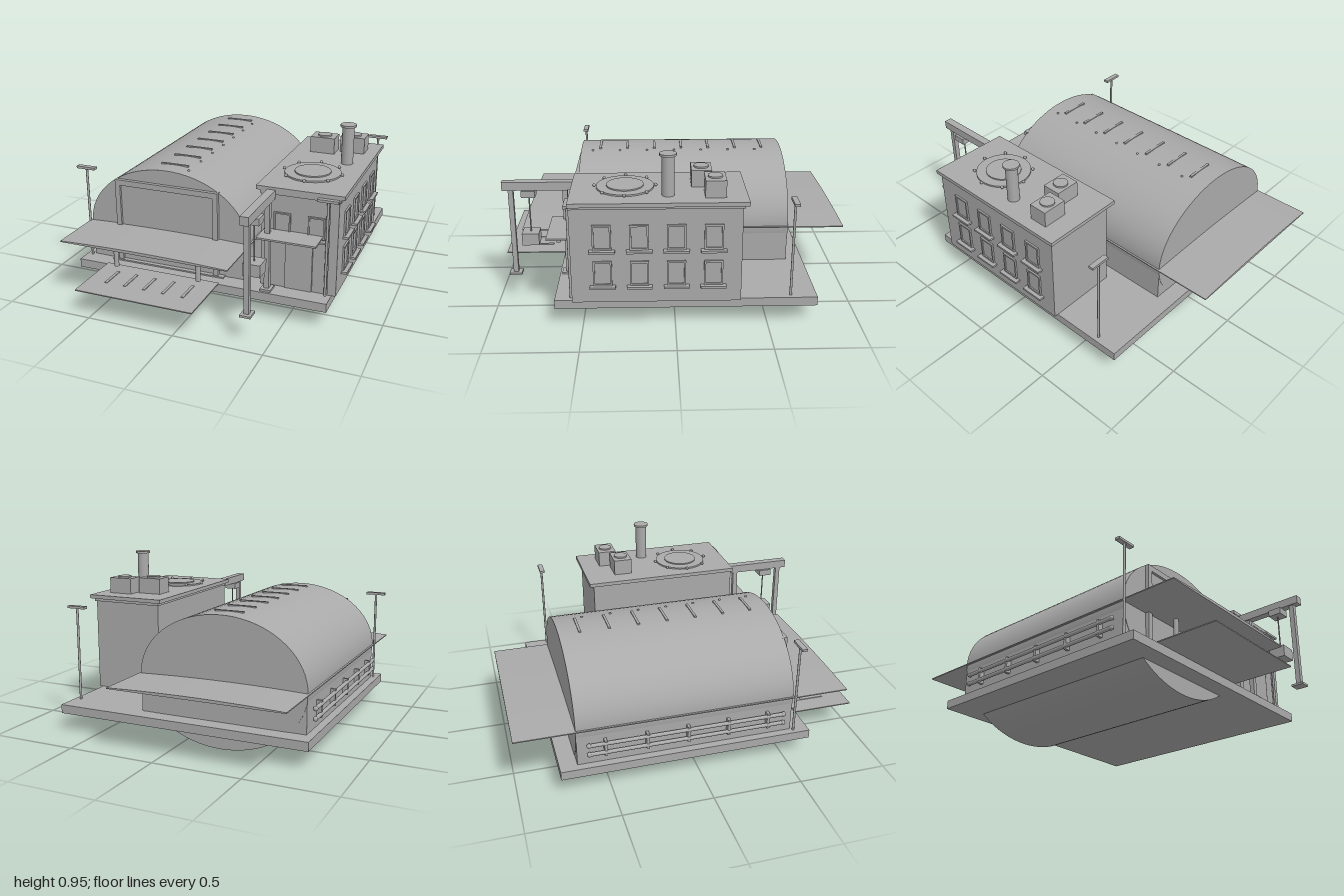
import * as THREE from 'three';

const grey = new THREE.MeshStandardMaterial({ color: 0xaaaaaa });
grey.name = 'plain grey';

export function createModel() {
  const root = new THREE.Group();
  root.name = 'hangarStation';

  const add = (name, geometry, x = 0, y = 0, z = 0) => {
    const mesh = new THREE.Mesh(geometry, grey);
    mesh.name = name;
    mesh.position.set(x, y, z);
    root.add(mesh);
    return mesh;
  };
  // Box given by its limits on each axis
  const box = (name, x0, x1, y0, y1, z0, z1) =>
    add(name, new THREE.BoxGeometry(x1 - x0, y1 - y0, z1 - z0), (x0 + x1) / 2, (y0 + y1) / 2, (z0 + z1) / 2);
  // Upright cylinder between two heights
  const post = (name, x, z, r, y0, y1, sides = 16) =>
    add(name, new THREE.CylinderGeometry(r, r, y1 - y0, sides), x, (y0 + y1) / 2, z);
  const ball = (name, x, y, z, r) => add(name, new THREE.SphereGeometry(r, 10, 8), x, y, z);

  box('basePlate', -0.76, 0.725, 0.1, 0.15, -0.77, 0.65);

  // Hangar: elliptical barrel with straight lower walls
  const cx = -0.235;
  const barrelShape = new THREE.CylinderGeometry(1, 1, 1.225, 72).rotateX(Math.PI / 2);
  add('hangarBarrel', barrelShape, cx, 0.365, -0.0625).scale.set(0.485, 0.365, 1);
  box('hangarWalls', -0.716, 0.246, 0.15, 0.365, -0.673, 0.548);

  // Wide, slightly domed sheet running through the hangar
  const dome = new THREE.Shape();
  dome.moveTo(-0.495, 0.36);
  dome.lineTo(0.495, 0.36);
  dome.lineTo(0.495, 0.366);
  dome.quadraticCurveTo(0, 0.388, -0.495, 0.366);
  add('canopySheet', new THREE.ExtrudeGeometry(dome, { depth: 1.875, bevelEnabled: false, curveSegments: 16 }), cx, 0, -1);

  // Hangar door with frame
  box('hangarDoor', -0.515, 0.05, 0.16, 0.615, 0.54, 0.558);
  for (const [a, b] of [[-0.545, -0.515], [0.05, 0.08]]) box('doorJamb', a, b, 0.155, 0.645, 0.54, 0.572);
  box('doorLintel', -0.545, 0.08, 0.615, 0.647, 0.54, 0.572);
  box('doorSill', -0.58, 0.115, 0.15, 0.158, 0.54, 0.58);

  // Ramp with guide stripes and two bollards
  box('ramp', -0.575, 0.115, 0.151, 0.157, 0.645, 1);
  for (let i = 0; i < 5; i++) {
    const x = -0.46 + i * 0.115;
    box('rampStripe', x - 0.008, x + 0.008, 0.157, 0.161, 0.73, 0.87);
  }
  for (const x of [-0.487, 0.017]) post('bollard', x, 0.7, 0.014, 0.178, 0.293);

  // Ridge bars along the barrel
  for (let i = 0; i < 7; i++) {
    const z = -0.557 + i * 0.165;
    box('ridgeBar', -0.315, -0.15, 0.712, 0.734, z - 0.007, z + 0.007);
    ball('ridgeLamp', -0.128, 0.722, z + 0.045, 0.007);
  }

  // Pipes on the outer hangar wall
  for (const y of [0.22, 0.275]) {
    add('wallPipe', new THREE.CylinderGeometry(0.011, 0.011, 1.1, 12).rotateX(Math.PI / 2), -0.74, y, -0.06);
    for (const z of [-0.61, 0.49]) ball('pipeEnd', -0.74, y, z, 0.014);
  }
  for (let i = 0; i < 5; i++) {
    const z = -0.52 + i * 0.23;
    box('pipeBracket', -0.745, -0.71, 0.2, 0.295, z - 0.008, z + 0.008);
  }

  // Office block
  box('officeBody', 0.325, 0.748, 0.15, 0.7, -0.35, 0.545);
  box('officeCornice', 0.318, 0.756, 0.682, 0.7, -0.358, 0.553);
  box('officeRoof', 0.295, 0.775, 0.7, 0.722, -0.38, 0.555);
  for (const [a, b] of [[0.325, 0.36], [0.7, 0.748]]) box('frontPilaster', a, b, 0.15, 0.69, 0.54, 0.552);

  // Frame of four bars around an opening, lying in the xy plane
  const frameShape = (w, h, t) => {
    const rect = (s, a, b) => {
      s.moveTo(-a, -b); s.lineTo(a, -b); s.lineTo(a, b); s.lineTo(-a, b); s.closePath();
      return s;
    };
    const outer = rect(new THREE.Shape(), w / 2, h / 2);
    outer.holes.push(rect(new THREE.Path(), w / 2 - t, h / 2 - t));
    return new THREE.ExtrudeGeometry(outer, { depth: 0.012, bevelEnabled: false });
  };

  // Side windows in two rows
  const sideFrame = frameShape(0.1, 0.14, 0.01).rotateY(Math.PI / 2);
  for (const y of [0.32, 0.525]) {
    for (const z of [0.385, 0.19, -0.005, -0.2]) {
      add('sideWindowFrame', sideFrame, 0.746, y, z);
      box('sideWindowPane', 0.745, 0.751, y - 0.06, y + 0.06, z - 0.04, z + 0.04);
      box('sideWindowSill', 0.745, 0.78, y - 0.082, y - 0.07, z - 0.068, z + 0.068);
    }
  }

  // Front windows, entrance and canopy
  const frontFrame = frameShape(0.092, 0.12, 0.008);
  for (const x of [0.442, 0.63]) {
    add('frontWindowFrame', frontFrame, x, 0.525, 0.543);
    box('frontWindowPane', x - 0.038, x + 0.038, 0.473, 0.577, 0.54, 0.549);
    box('frontWindowSill', x - 0.055, x + 0.055, 0.448, 0.458, 0.54, 0.572);
  }
  box('entranceDoor', 0.463, 0.614, 0.152, 0.442, 0.54, 0.556);
  box('entrancePanel', 0.625, 0.69, 0.152, 0.442, 0.54, 0.55);
  box('entranceCanopy', 0.345, 0.667, 0.474, 0.484, 0.545, 0.685);

  // Roof pad with ring and marker lights
  const px = 0.52, pz = 0.265;
  post('roofPad', px, pz, 0.155, 0.722, 0.731, 48);
  post('roofPadCentre', px, pz, 0.1, 0.731, 0.738, 40);
  for (let i = 0; i < 8; i++) {
    const a = i * Math.PI / 4;
    ball('padLight', px + 0.165 * Math.cos(a), 0.732, pz + 0.165 * Math.sin(a), 0.009);
  }

  // Chimney and roof ventilation units
  post('chimney', 0.652, 0.037, 0.034, 0.722, 0.942, 24);
  post('chimneyCap', 0.652, 0.037, 0.045, 0.938, 0.95, 24);
  for (const [x, z] of [[0.47, -0.145], [0.633, -0.21]]) {
    box('ventUnit', x - 0.072, x + 0.072, 0.722, 0.815, z - 0.055, z + 0.055);
    post('ventFan', x, z, 0.04, 0.815, 0.824, 24);
  }

  // Crane in front of the office
  const kx = 0.38;
  box('craneBeam', kx - 0.023, kx + 0.023, 0.66, 0.708, 0.555, 0.948);
  for (const z of [0.602, 0.902]) {
    box('cranePost', kx - 0.014, kx + 0.014, 0.16, 0.66, z - 0.014, z + 0.014);
    box('craneFoot', kx - 0.03, kx + 0.03, 0.15, 0.162, z - 0.035, z + 0.035);
  }
  box('craneTrolley', kx - 0.038, kx + 0.038, 0.622, 0.66, 0.765, 0.842);
  post('craneCable', kx, 0.803, 0.004, 0.41, 0.622, 8);
  box('craneLoad', kx - 0.048, kx + 0.048, 0.342, 0.41, 0.755, 0.85);

  // Lamp posts at three corners
  for (const [x, z] of [[-0.728, 0.563], [0.692, 0.563], [0.692, -0.627]]) {
    post('lampPost', x, z, 0.007, 0.15, 0.685, 12);
    box('lampHead', x - 0.057, x + 0.057, 0.685, 0.699, z - 0.015, z + 0.015);
  }

  return root;
}
